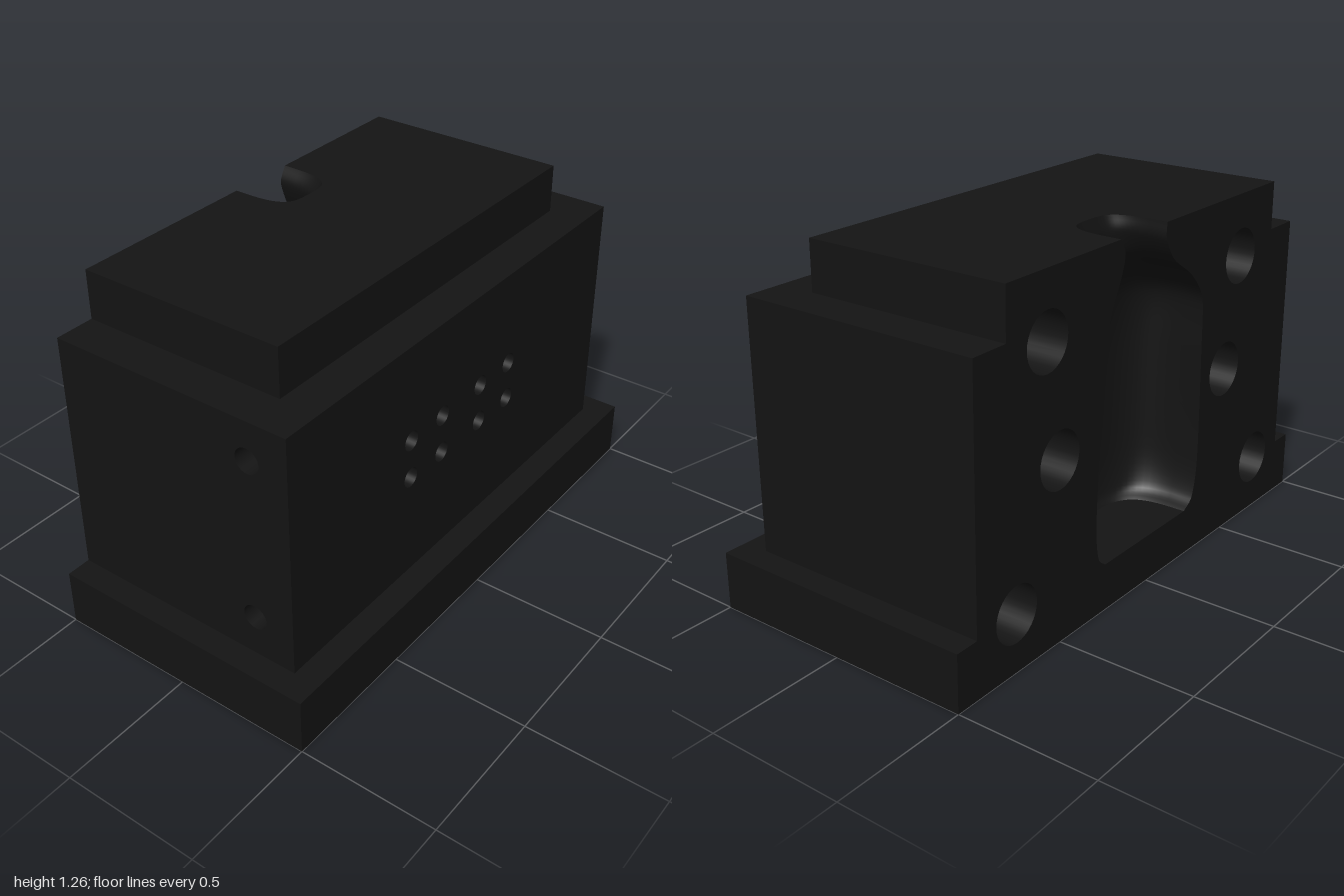
import * as THREE from 'three';
import { mergeGeometries } from 'three/addons/utils/BufferGeometryUtils.js';

const BACK = -0.5;    // x of the flat parting face
const TOP = 1.265;
// stepped block: bottom, top, +x extent, half length in z
const TIERS = [
  { name: 'base', y0: 0, y1: 0.205, x: 0.5, z: 1 },
  { name: 'body', y0: 0.205, y1: 1.09, x: 0.405, z: 0.91 },
  { name: 'crown', y0: 1.09, y1: TOP, x: 0.265, z: 0.765 },
];
// cavity sections from floor to mouth: y, z of one side, z of the other, depth
const SECTIONS = [
  [0.17, -0.25, 0.24, 0.25], [0.21, -0.29, 0.29, 0.27], [0.35, -0.305, 0.315, 0.28],
  [0.76, -0.285, 0.31, 0.27], [0.95, -0.27, 0.3, 0.25], [1.05, -0.24, 0.225, 0.22],
  [1.13, -0.2, 0.11, 0.2], [1.21, -0.175, 0.06, 0.2], [TOP, -0.2, 0.06, 0.215],
];
const STEPS = 48, ARC = 28;

const material = new THREE.MeshStandardMaterial({ color: 0x141414, side: THREE.DoubleSide });

// Flat panel facing +z with blind round holes [x, y, radius] sunk behind it
function panel(name, outline, holes = [], depth = 0.15) {
  const shape = new THREE.Shape(outline.map(([x, y]) => new THREE.Vector2(x, y)));
  const pockets = [];
  for (const [x, y, r] of holes) {
    shape.holes.push(new THREE.Path().absarc(x, y, r, 0, Math.PI * 2, true));
    pockets.push(
      new THREE.CylinderGeometry(r, r, depth, 32, 1, true).rotateX(Math.PI / 2).translate(x, y, -depth / 2),
      new THREE.CircleGeometry(r, 32).translate(x, y, -depth));
  }
  const mesh = new THREE.Mesh(mergeGeometries([new THREE.ShapeGeometry(shape, 16), ...pockets]), material);
  mesh.name = name;
  return mesh;
}

const rect = (x0, y0, x1, y1) => [[x0, y0], [x1, y0], [x1, y1], [x0, y1]];

// Rounded, half-open cavity outlines as rows of points, one row per height
function cavityRows() {
  const edge = (i) => new THREE.CatmullRomCurve3(
    SECTIONS.map((s) => new THREE.Vector3(s[3], s[0], s[i])), false, 'catmullrom', 0.4).getPoints(STEPS);
  const a = edge(1), b = edge(2);
  return a.map((p, i) => {
    const mid = (p.z + b[i].z) / 2, half = (b[i].z - p.z) / 2, row = [];
    for (let j = 0; j <= ARC; j++) {
      const t = Math.PI * j / ARC, c = Math.cos(t);
      row.push(new THREE.Vector3(
        BACK + p.x * Math.pow(Math.max(0, Math.sin(t)), 0.55), p.y,
        mid - half * Math.sign(c) * Math.pow(Math.abs(c), 0.55)));
    }
    return row;
  });
}

function cavityWall(rows) {
  const pos = rows.flat().flatMap((p) => p.toArray()), index = [], w = ARC + 1;
  for (let i = 0; i < rows.length - 1; i++) {
    for (let j = 0; j < ARC; j++) {
      const k = i * w + j;
      index.push(k, k + w, k + 1, k + 1, k + w, k + w + 1);
    }
  }
  const g = new THREE.BufferGeometry();
  g.setAttribute('position', new THREE.Float32BufferAttribute(pos, 3));
  g.setIndex(index);
  g.computeVertexNormals();
  const mesh = new THREE.Mesh(g, material);
  mesh.name = 'cavityWall';
  return mesh;
}

export function createModel() {
  const model = new THREE.Group();
  model.name = 'mouldHalf';
  const rows = cavityRows();
  const mouth = rows[rows.length - 1];

  // Turn a panel towards a side and put it in place
  const add = (mesh, rx, ry, x, y, z, parent = model) => {
    mesh.rotation.set(rx, ry, 0);
    mesh.position.set(x, y, z);
    parent.add(mesh);
  };

  TIERS.forEach((t, i) => {
    const tier = new THREE.Group();
    tier.name = t.name;
    model.add(tier);
    const isBody = t.name === 'body';

    // end walls, with two dowel holes in the front of the body
    const ports = isBody ? [[0.255, 0.95, 0.045], [0.255, 0.355, 0.045]] : [];
    add(panel('frontWall', rect(BACK, t.y0, t.x, t.y1), ports), 0, 0, 0, 0, t.z, tier);
    add(panel('backWall', rect(-t.x, t.y0, -BACK, t.y1)), 0, Math.PI, 0, 0, -t.z, tier);

    // long wall, with two rows of vent holes in the body
    const vents = [];
    if (isBody) {
      for (const y of [0.59, 0.735]) {
        for (const z of [0.295, 0.118, -0.11, -0.288]) vents.push([-z, y, 0.036]);
      }
    }
    add(panel('sideWall', rect(-t.z, t.y0, t.z, t.y1), vents, 0.1), 0, Math.PI / 2, t.x, 0, 0, tier);

    // ledge around the next tier, or the top with the cavity mouth cut out
    const n = TIERS[i + 1];
    const notch = n
      ? [[BACK, n.z], [n.x, n.z], [n.x, -n.z], [BACK, -n.z]]
      : mouth.map((p) => [p.x, -p.z]);
    add(panel(n ? 'ledge' : 'top', [[BACK, -t.z], [t.x, -t.z], [t.x, t.z], [BACK, t.z], ...notch]),
      -Math.PI / 2, 0, 0, t.y1, 0, tier);
  });

  // underside
  add(panel('underside', rect(BACK, -1, 0.5, 1)), Math.PI / 2, 0, 0, 0, 0);

  // parting face: stepped outline, cavity opening and six bolt holes
  const up = TIERS.flatMap((t) => [[t.z, t.y0], [t.z, t.y1]]);
  const down = up.map(([z, y]) => [-z, y]).reverse();
  const opening = [
    ...rows.map((r) => [r[ARC].z, r[0].y]).reverse(),
    ...rows.map((r) => [r[0].z, r[0].y]),
  ];
  const bolts = [[-0.72, 0.205], [0.73, 0.205], [-0.505, 0.64], [0.475, 0.64], [-0.57, 1.04], [0.55, 1.04]]
    .map(([z, y]) => [z, y, 0.1]);
  add(panel('partingFace', [...up, ...opening, ...down], bolts, 0.2), 0, -Math.PI / 2, BACK, 0, 0);

  // cavity wall and its flat floor
  model.add(cavityWall(rows));
  add(panel('cavityFloor', rows[0].map((p) => [p.x, -p.z])), -Math.PI / 2, 0, 0, rows[0][0].y, 0);

  return model;
}
